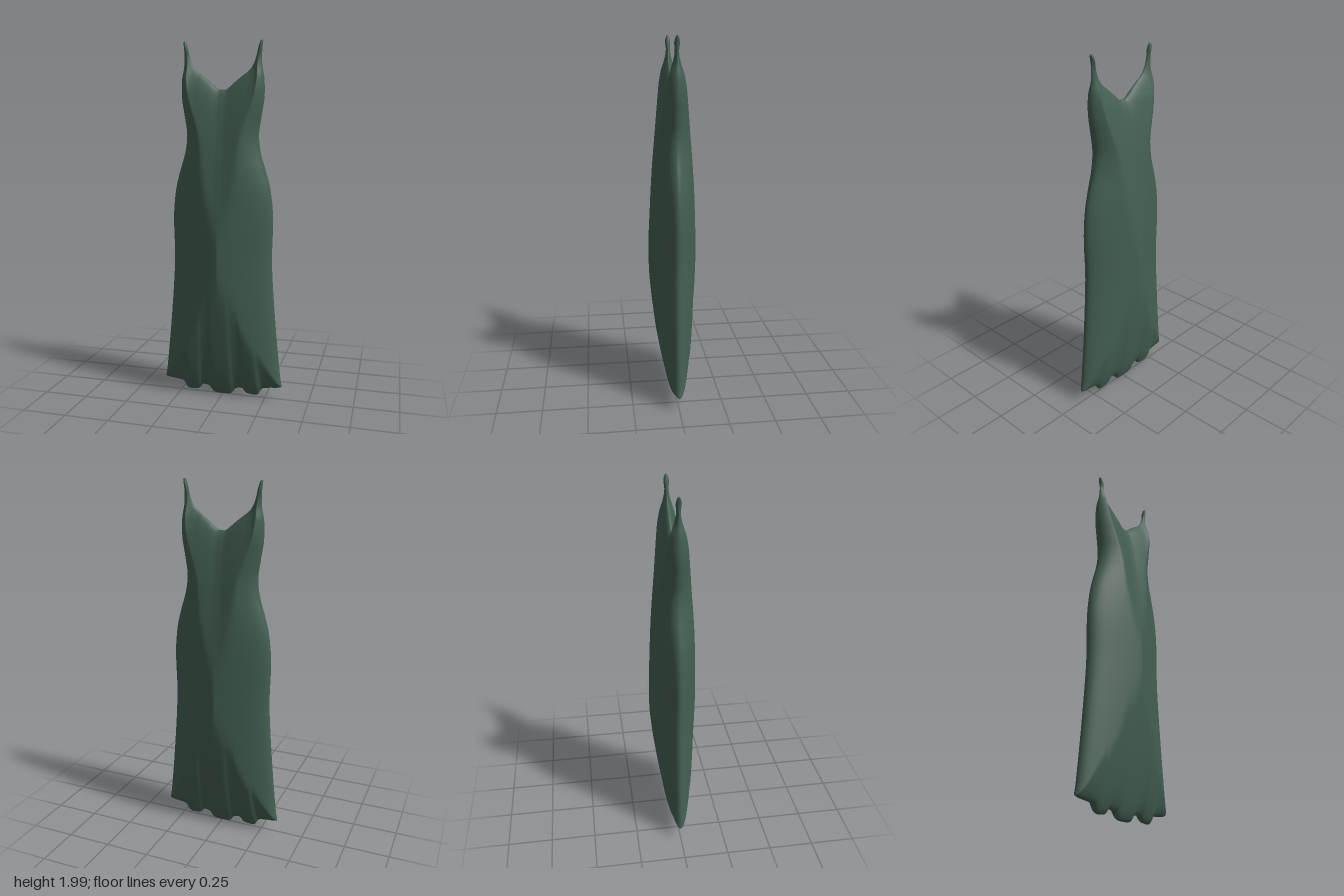
import * as THREE from 'three';
import { mergeVertices } from 'three/addons/utils/BufferGeometryUtils.js';

// Smooth curve through [position, value] pairs, held constant past the ends
function curve(points) {
  const slope = (i) => {
    const a = points[Math.max(i - 1, 0)], b = points[Math.min(i + 1, points.length - 1)];
    return (b[1] - a[1]) / (b[0] - a[0]);
  };
  return (p) => {
    const last = points.length - 1;
    if (p <= points[0][0]) return points[0][1];
    if (p >= points[last][0]) return points[last][1];
    let i = 0;
    while (points[i + 1][0] < p) i++;
    const [p0, v0] = points[i], [p1, v1] = points[i + 1];
    const h = p1 - p0, t = (p - p0) / h, t2 = t * t, t3 = t2 * t;
    return v0 * (2 * t3 - 3 * t2 + 1) + v1 * (3 * t2 - 2 * t3)
      + h * (slope(i) * (t3 - 2 * t2 + t) + slope(i + 1) * (t3 - t2));
  };
}

// Half width of the silhouette by height
const halfWidth = curve([[0.08, 0.348], [0.15, 0.336], [0.5, 0.302], [0.8, 0.282], [1.05, 0.285], [1.2, 0.27],
  [1.3, 0.245], [1.4, 0.215], [1.5, 0.202], [1.6, 0.215], [1.7, 0.23], [1.8, 0.229], [1.87, 0.217],
  [1.95, 0.216], [2, 0.221]]);
// Fullness of the padding by height: constant in the gown, pinched where the straps start
const fullness = curve([[1.75, 0.135], [1.82, 0.115], [1.88, 0.065], [1.93, 0.045], [1.97, 0.08], [2, 0.09]]);
// Neckline rising into the straps, and scalloped hem, by fraction of half width
const neckline = curve([[0, 1.745], [0.1, 1.748], [0.3, 1.785], [0.5, 1.82], [0.65, 1.843], [0.78, 1.875],
  [0.86, 1.92], [0.91, 1.975], [0.94, 2], [1, 2]]);
const hem = curve([[0, 0.008], [0.15, 0.015], [0.22, 0.045], [0.34, 0.052], [0.39, 0.03], [0.46, 0.022],
  [0.6, 0.024], [0.67, 0.06], [0.78, 0.07], [0.93, 0.076], [1, 0.083]]);

// One padded half of the gown: side is +1 for front, -1 for back
function addPanel(side, positions, index) {
  const columns = 140, rows = 140, start = positions.length / 3;
  for (let r = 0; r <= rows; r++) {
    const v = (1 - Math.cos(Math.PI * r / rows)) / 2;
    for (let c = 0; c <= columns; c++) {
      const s = Math.sin(Math.PI * (c / columns - 0.5)), a = Math.abs(s);
      const bottom = hem(a), top = neckline(a);
      const y = bottom + (top - bottom) * v;
      let z = 0;
      if (c > 0 && c < columns && r > 0 && r < rows) {
        // Soft minimum of the distances to side seam, hem and neckline
        const inside = [1 - a, (y - bottom) / 0.7, (top - y) / 0.8]
          .reduce((sum, d) => sum + Math.pow(d, -16), 0) ** (-1 / 16);
        z = side * fullness(y) * Math.pow(inside, 0.54);
      }
      positions.push(s * halfWidth(y), y, z);
    }
  }
  for (let r = 0; r < rows; r++) {
    for (let c = 0; c < columns; c++) {
      const i = start + r * (columns + 1) + c, j = i + columns + 1;
      if (side > 0) index.push(i, i + 1, j + 1, i, j + 1, j);
      else index.push(i, j + 1, i + 1, i, j, j + 1);
    }
  }
}

export function createModel() {
  const group = new THREE.Group();
  group.name = 'slipDress';
  const fabric = new THREE.MeshStandardMaterial({ color: 0x446052, side: THREE.DoubleSide });
  fabric.name = 'dark green satin';

  // Front and back joined along the seam
  const positions = [], index = [];
  addPanel(1, positions, index);
  addPanel(-1, positions, index);
  let geometry = new THREE.BufferGeometry();
  geometry.setAttribute('position', new THREE.Float32BufferAttribute(positions, 3));
  geometry.setIndex(index);
  geometry = mergeVertices(geometry, 1e-5);
  geometry.computeVertexNormals();

  const gown = new THREE.Mesh(geometry, fabric);
  gown.name = 'gown';
  group.add(gown);
  return group;
}
